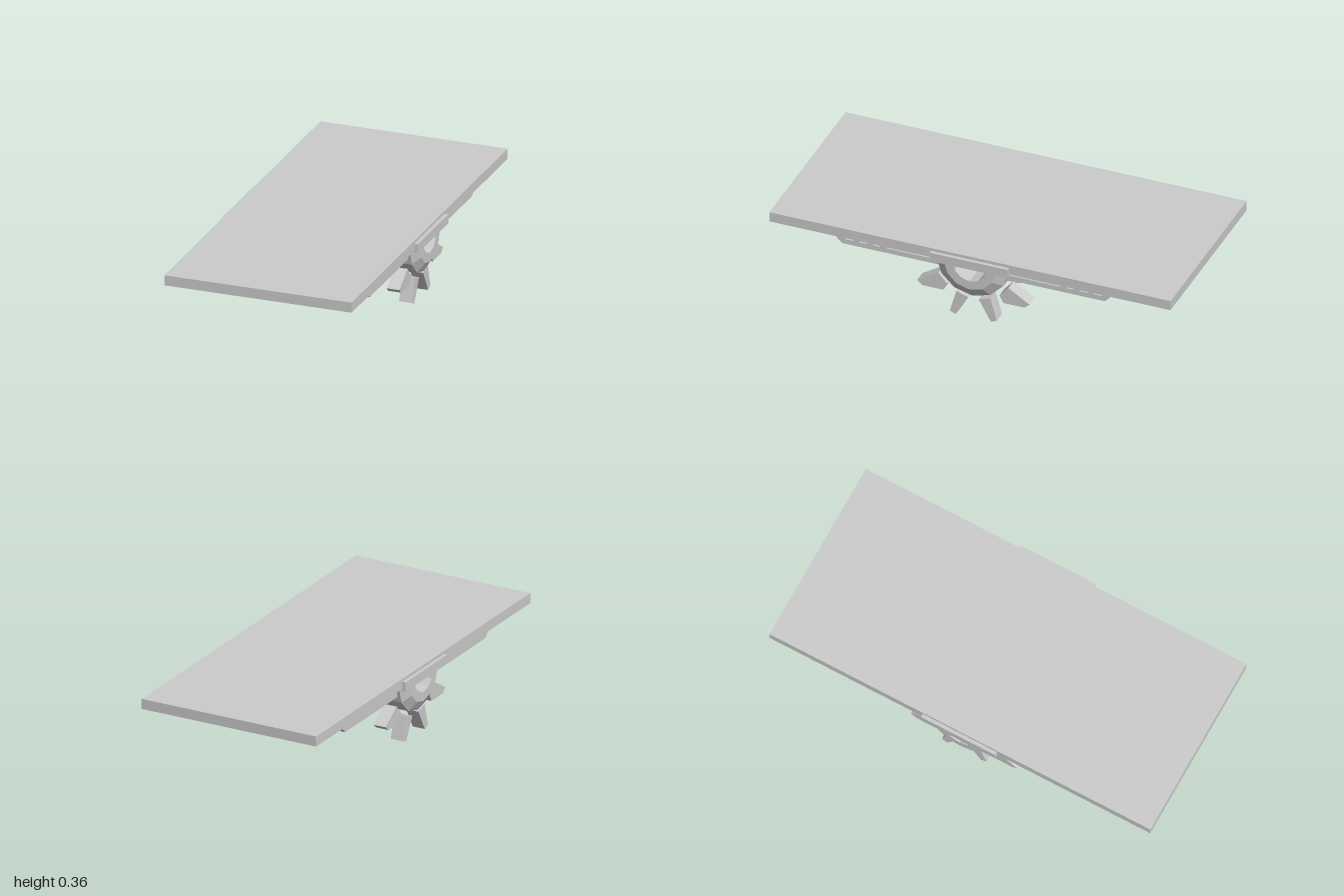
import * as THREE from 'three';

const material = new THREE.MeshStandardMaterial({ color: 0xcccccc, flatShading: true });

function add(parent, name, geometry) {
  const mesh = new THREE.Mesh(geometry, material);
  mesh.name = name;
  parent.add(mesh);
  return mesh;
}

// Extrudes a side profile of [z, y] points between two x positions
function profile(points, x0, x1, dir = 1) {
  const shape = new THREE.Shape(points.map(([z, y]) => new THREE.Vector2(z * dir, y)));
  const geometry = new THREE.ExtrudeGeometry(shape, { depth: x1 - x0, bevelEnabled: false });
  return geometry.rotateY(-Math.PI / 2).translate(x1, 0, 0);
}

function slab(w, y0, y1, d) {
  return new THREE.BoxGeometry(w, y1 - y0, d).translate(0, (y0 + y1) / 2, 0);
}

export function createModel() {
  const model = new THREE.Group();
  model.name = 'plank';

  // Deck and the wider plate under its middle
  add(model, 'deck', slab(0.925, 0.31, 0.36, 2));
  add(model, 'mountPlate', slab(0.96, 0.3, 0.345, 0.39));

  // Half tube across the width, bevelled at both ends
  const section = [
    [0.085, -0.465], [0.13, -0.465], [0.18, -0.435], [0.18, 0.435],
    [0.13, 0.465], [0.085, 0.465], [0.085, -0.465],
  ].map(([r, x]) => new THREE.Vector2(r, x));
  const tube = new THREE.LatheGeometry(section, 6, 0, Math.PI);
  add(model, 'halfTube', tube.rotateZ(-Math.PI / 2).translate(0, 0.311, 0));

  // Bent sheet forming the hollow central housing
  add(model, 'housing', profile([
    [-0.355, 0.305], [-0.165, 0.135], [0.165, 0.135], [0.355, 0.305],
    [0.32, 0.305], [0.155, 0.15], [-0.155, 0.15], [-0.32, 0.305],
  ], -0.262, 0.262));

  const sideClaw = [[0.28, 0.14], [0.175, 0.206], [0.13, 0.155], [0.15, 0.118], [0.255, 0.118]];
  const lowerClaw = [[0.085, 0.127], [0.027, 0.108], [0.088, 0], [0.117, 0.012]];
  // Notched rail: sloped end block followed by three teeth
  const rail = [
    [0.15, 0.25], [0.655, 0.25], [0.69, 0.285], [0.69, 0.311], [0.64, 0.311], [0.64, 0.275],
    [0.6, 0.275], [0.6, 0.311], [0.57, 0.311], [0.57, 0.275],
    [0.53, 0.275], [0.53, 0.311], [0.5, 0.311], [0.5, 0.275],
    [0.465, 0.275], [0.465, 0.311], [0.435, 0.311], [0.435, 0.275], [0.15, 0.275],
  ];

  // Claws and rails, mirrored left/right and front/back
  for (const side of [1, -1]) {
    const sideName = side > 0 ? 'left' : 'right';
    const span = (a, b) => (side > 0 ? [a, b] : [-b, -a]);
    for (const dir of [1, -1]) {
      const name = sideName + (dir > 0 ? 'Front' : 'Back');
      add(model, name + 'SideClaw', profile(sideClaw, ...span(0.357, 0.421), dir));
      add(model, name + 'LowerClaw', profile(lowerClaw, ...span(0.357, 0.421), dir));
      add(model, name + 'Rail', profile(rail, ...span(0.373, 0.42), dir));
    }
  }
  return model;
}
